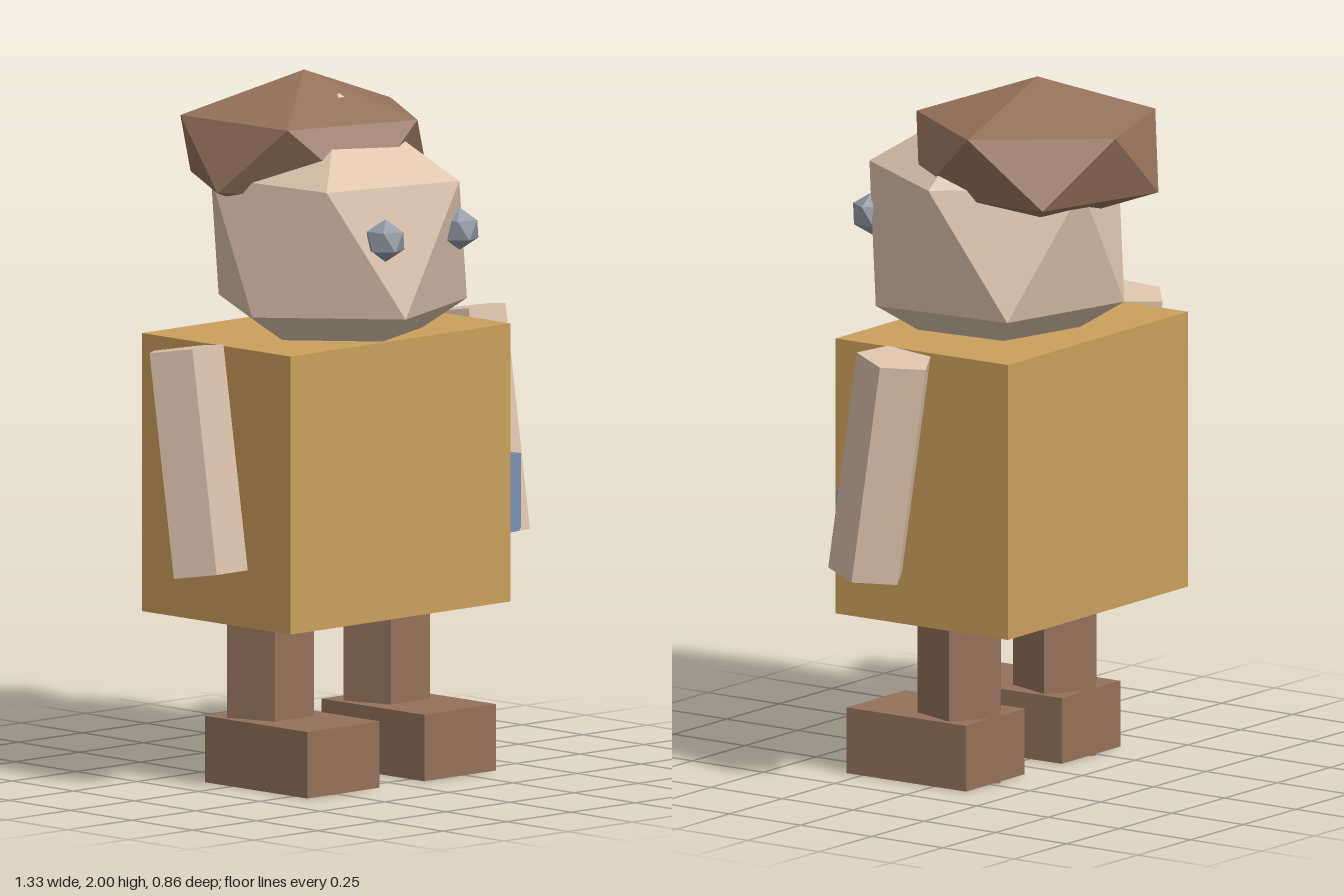
import * as THREE from 'three';

const material = (name, color) => {
  const m = new THREE.MeshStandardMaterial({ color });
  m.name = name;
  return m;
};

// Icosahedron standing on a vertex; turn is the angle of its upper ring, from +x towards +z
function uprightIcosahedron(rx, ry, turn) {
  const ringY = Math.sqrt(0.2), ringR = Math.sqrt(0.8), step = Math.PI * 0.4;
  const p = [0, ry, 0];
  for (let ring = 0; ring < 2; ring++) {
    for (let i = 0; i < 5; i++) {
      const a = turn + (i + ring / 2) * step;
      p.push(Math.cos(a) * ringR * rx, (ring ? -ringY : ringY) * ry, Math.sin(a) * ringR * rx);
    }
  }
  p.push(0, -ry, 0);
  const index = [];
  for (let i = 0; i < 5; i++) {
    const j = (i + 1) % 5;
    const u = 1 + i, v = 1 + j, l = 6 + i, m = 6 + j;
    index.push(0, v, u, u, v, l, v, m, l, 11, l, m);
  }
  const indexed = new THREE.BufferGeometry();
  indexed.setAttribute('position', new THREE.Float32BufferAttribute(p, 3));
  indexed.setIndex(index);
  const g = indexed.toNonIndexed();
  g.computeVertexNormals();
  return g;
}

// Five-sided prism; start is the angle of one corner, from +z towards +x
function pentagonPrism(r, height, start) {
  const g = new THREE.CylinderGeometry(r, r, height, 5, 1, false, start).toNonIndexed();
  g.computeVertexNormals();
  return g;
}

export function createModel() {
  const model = new THREE.Group();
  const skin = material('skin', 0xdcc2ac);
  const brown = material('brown', 0x94725a);
  const tunic = material('ochre', 0xcba05c);
  const grey = material('eye grey', 0x9299a6);
  const blue = material('blue', 0x7890b0);

  const add = (name, geometry, mat, x, y, z) => {
    const mesh = new THREE.Mesh(geometry, mat);
    mesh.name = name;
    mesh.position.set(x, y, z);
    model.add(mesh);
    return mesh;
  };

  // Torso, head and hair
  add('torso', new THREE.BoxGeometry(0.868, 0.795, 0.6), tunic, 0, 0.8725, -0.002).rotation.y = 0.0115;
  add('head', uprightIcosahedron(0.414, 0.414, -0.087), skin, 0, 1.535, 0.05);
  add('hair', uprightIcosahedron(0.397, 0.217, -0.05), brown, -0.003, 1.783, -0.09);

  // Eyes
  add('rightEye', uprightIcosahedron(0.061, 0.061, -0.087), grey, -0.128, 1.577, 0.375);
  add('leftEye', uprightIcosahedron(0.061, 0.061, -0.087), grey, 0.175, 1.577, 0.36);

  // Limbs on both sides
  for (const [side, s] of [['left', 1], ['right', -1]]) {
    const arm = add(side + 'Arm', pentagonPrism(0.113, 0.642, Math.PI - s * 0.09), skin, s * 0.553, 0.954, 0.045);
    arm.rotation.x = -0.156;
    add(side + 'Leg', pentagonPrism(0.13, 0.55, Math.PI), brown, s * 0.2265, 0.277, 0);
    add(side + 'Shoe', new THREE.BoxGeometry(0.283, 0.19, 0.416), brown, s * 0.2275, 0.095, 0.097).rotation.y = 0.0115;
  }

  // Small block held at the left hand
  add('heldBlock', new THREE.BoxGeometry(0.22, 0.222, 0.065), blue, 0.467, 0.761, 0.163).rotation.y = 0.08;

  return model;
}
